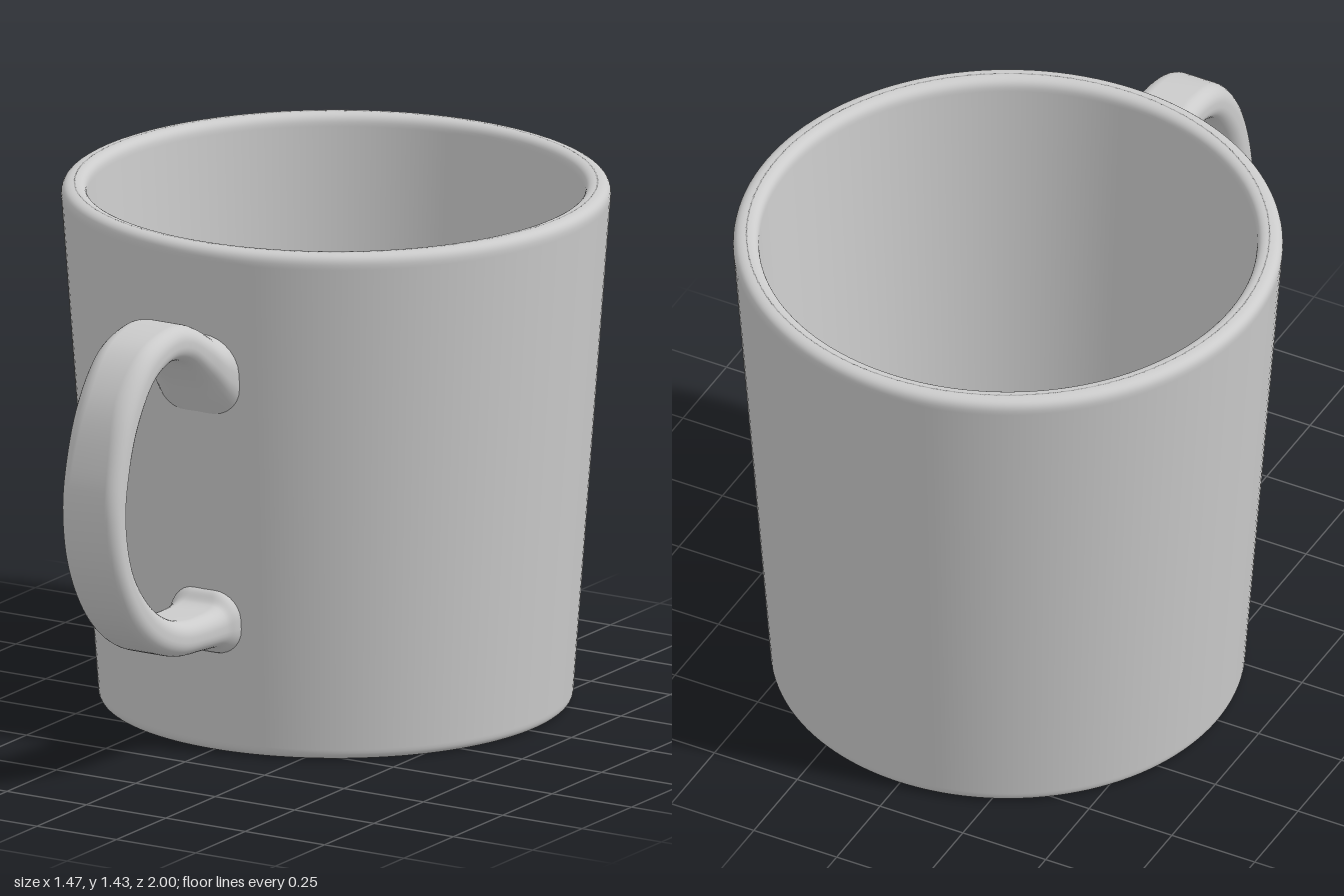
import * as THREE from 'three';

const material = new THREE.MeshStandardMaterial({ color: 0xcccccc });
const BODY_Z = -0.263;

// Lathe profile from corners [r, y, fillet]; each fillet gets a smooth arc
function filletedProfile(corners, steps = 8) {
  const pts = [];
  corners.forEach(([x, y, f], i) => {
    const p = new THREE.Vector2(x, y);
    if (!f) return pts.push(p);
    const toward = (k, d) => {
      const dir = new THREE.Vector2(corners[k][0] - x, corners[k][1] - y).normalize();
      return p.clone().addScaledVector(dir, d);
    };
    // extra points just outside the arc keep the long walls evenly shaded
    pts.push(toward(i - 1, f * 1.15));
    pts.push(...new THREE.QuadraticBezierCurve(toward(i - 1, f), p, toward(i + 1, f)).getPoints(steps));
    pts.push(toward(i + 1, f * 1.15));
  });
  return pts;
}

// Tapered cup with a recessed underside, rounded rim and hollow inside
function createBody() {
  const profile = filletedProfile([
    [0, 0.03, 0],
    [0.55, 0.03, 0.015],
    [0.572, 0, 0.012],
    [0.634, 0, 0.026],
    [0.738, 1.43, 0.036],
    [0.668, 1.43, 0.03],
    [0.578, 0.08, 0.04],
    [0, 0.08, 0],
  ]);
  const body = new THREE.Mesh(new THREE.LatheGeometry(profile, 128), material);
  body.name = 'cupBody';
  body.position.z = BODY_Z;
  return body;
}

// Point on a rounded rectangle of half sizes w, h
function roundedSection(w, h, perCorner) {
  const r = Math.min(w, h) * 0.85;
  const pts = [];
  for (let c = 0; c < 4; c++) {
    const sx = c === 0 || c === 3 ? 1 : -1;
    const sy = c < 2 ? 1 : -1;
    for (let k = 0; k <= perCorner; k++) {
      const a = (c + k / perCorner) * Math.PI / 2;
      pts.push([sx * (w - r) + r * Math.cos(a), sy * (h - r) + r * Math.sin(a)]);
    }
  }
  return pts;
}

// Handle: sections spanning an outer and an inner outline, flared at the wall
function createHandle() {
  // outer z, outer y, inner z, inner y, half width
  const stations = [
    [0.425, 1.18, 0.41, 0.92, 0.135],
    [0.475, 1.185, 0.46, 0.985, 0.122],
    [0.544, 1.225, 0.52, 1.064, 0.103],
    [0.61, 1.248, 0.6, 1.14, 0.093],
    [0.678, 1.255, 0.69, 1.16, 0.09],
    [0.812, 1.22, 0.785, 1.118, 0.09],
    [0.92, 1.107, 0.866, 1.0, 0.09],
    [0.984, 0.93, 0.907, 0.89, 0.09],
    [1.0, 0.796, 0.92, 0.78, 0.09],
    [0.973, 0.635, 0.885, 0.635, 0.09],
    [0.893, 0.485, 0.8, 0.528, 0.09],
    [0.785, 0.39, 0.715, 0.465, 0.09],
    [0.65, 0.335, 0.63, 0.43, 0.09],
    [0.517, 0.319, 0.53, 0.418, 0.09],
    [0.435, 0.308, 0.44, 0.426, 0.094],
    [0.4, 0.285, 0.41, 0.455, 0.104],
    [0.365, 0.275, 0.37, 0.465, 0.11],
  ];
  const curve = (f) => new THREE.CatmullRomCurve3(stations.map(f));
  const outer = curve((s) => new THREE.Vector3(0, s[1], s[0]));
  const inner = curve((s) => new THREE.Vector3(0, s[3], s[2]));
  const width = curve((s, i) => new THREE.Vector3(s[4], i, 0));

  const rings = 112, perCorner = 7, n = 4 * (perCorner + 1);
  const positions = [], index = [];
  for (let i = 0; i <= rings; i++) {
    const o = outer.getPoint(i / rings), q = inner.getPoint(i / rings);
    const mid = o.clone().add(q).multiplyScalar(0.5);
    const out = o.clone().sub(q);
    const h = out.length() / 2;
    out.normalize();
    for (const [a, b] of roundedSection(width.getPoint(i / rings).x, h, perCorner)) {
      positions.push(a, mid.y + out.y * b, mid.z + out.z * b);
    }
    if (i === rings) break;
    for (let j = 0; j < n; j++) {
      const a = i * n + j, b = i * n + (j + 1) % n;
      index.push(a, b, b + n, a, b + n, a + n);
    }
  }
  const geometry = new THREE.BufferGeometry();
  geometry.setAttribute('position', new THREE.Float32BufferAttribute(positions, 3));
  geometry.setIndex(index);
  geometry.computeVertexNormals();
  const handle = new THREE.Mesh(geometry, material);
  handle.name = 'handle';
  return handle;
}

export function createModel() {
  const group = new THREE.Group();
  group.name = 'mug';
  group.add(createBody(), createHandle());
  return group;
}
